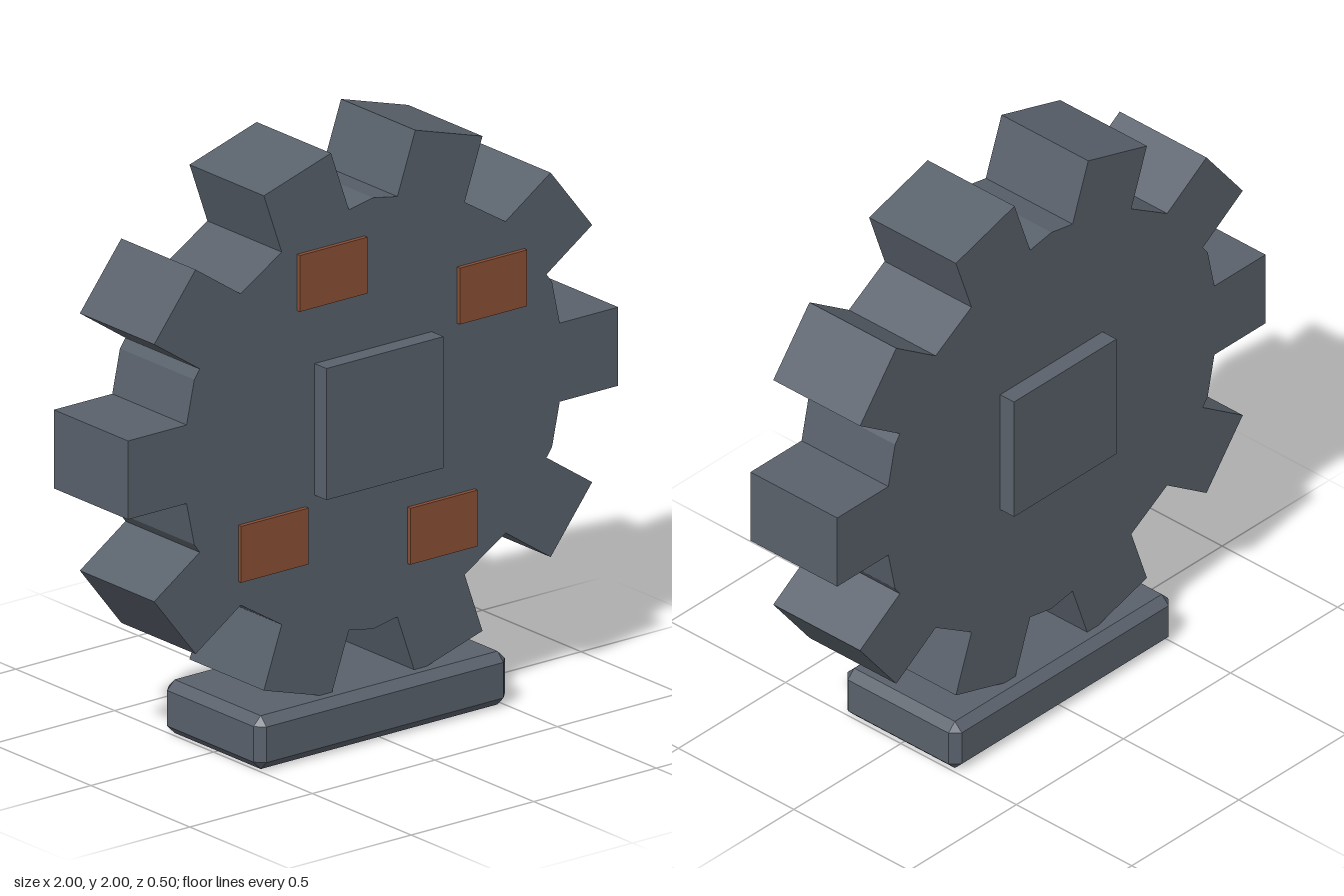
import * as THREE from 'three';
import { ConvexGeometry } from 'three/addons/geometries/ConvexGeometry.js';

const steel = new THREE.MeshStandardMaterial({ name: 'darkSteel', color: 0x59616b });
const rust = new THREE.MeshStandardMaterial({ name: 'rust', color: 0x8a4f35 });

const CENTER_Y = 1.083, HALF_DEPTH = 0.188;
const TEETH = 10, SIDES = 16, BODY_R = 0.79, TIP_R = 1, TOOTH_HALF = 0.144, SQUASH = 0.921;

// Distance along a tooth flank at which it meets the sixteen-sided body
function rootDistance(angle, offset) {
  const apothem = BODY_R * Math.cos(Math.PI / SIDES);
  let best = Infinity;
  for (let k = 0; k < SIDES; k++) {
    const delta = (k + 0.5) * 2 * Math.PI / SIDES - angle;
    const along = Math.cos(delta);
    if (along > 1e-6) best = Math.min(best, (apothem - offset * Math.sin(delta)) / along);
  }
  return best;
}

// Gear outline: a polygonal body with square teeth, slightly squashed in height
function gearGeometry() {
  const points = [];
  const add = (angle, u, v) => points.push(new THREE.Vector2(
    u * Math.cos(angle) - v * Math.sin(angle),
    (u * Math.sin(angle) + v * Math.cos(angle)) * SQUASH));
  const pitch = 2 * Math.PI / TEETH, side = 2 * Math.PI / SIDES;
  for (let i = 0; i < TEETH; i++) {
    const a = i * pitch, next = a + pitch;
    const start = rootDistance(a, -TOOTH_HALF), end = rootDistance(a, TOOTH_HALF);
    add(a, start, -TOOTH_HALF);
    add(a, TIP_R, -TOOTH_HALF);
    add(a, TIP_R, TOOTH_HALF);
    add(a, end, TOOTH_HALF);
    // body corners lying in the gap before the next tooth
    const from = a + Math.atan2(TOOTH_HALF, end);
    const to = next - Math.atan2(TOOTH_HALF, rootDistance(next, -TOOTH_HALF));
    for (let k = 0; k < SIDES; k++) {
      if (k * side > from + 0.001 && k * side < to - 0.001) add(k * side, BODY_R, 0);
    }
  }
  const geometry = new THREE.ExtrudeGeometry(new THREE.Shape(points),
    { depth: 2 * HALF_DEPTH, bevelEnabled: false });
  return geometry.translate(0, 0, -HALF_DEPTH);
}

// Box with every edge cut at 45 degrees
function chamferedBox(w, h, d, c) {
  const points = [];
  for (const sx of [-1, 1]) for (const sy of [-1, 1]) for (const sz of [-1, 1]) {
    for (let axis = 0; axis < 3; axis++) {
      const inset = [c, c, c];
      inset[axis] = 0;
      points.push(new THREE.Vector3(
        sx * (w / 2 - inset[0]), sy * (h / 2 - inset[1]), sz * (d / 2 - inset[2])));
    }
  }
  return new ConvexGeometry(points);
}

export function createModel() {
  const model = new THREE.Group();
  model.name = 'gearOnStand';
  const add = (name, geometry, material, x, y, z) => {
    const mesh = new THREE.Mesh(geometry, material);
    mesh.name = name;
    mesh.position.set(x, y, z);
    model.add(mesh);
  };

  add('gear', gearGeometry(), steel, 0, CENTER_Y, 0);
  add('hub', new THREE.BoxGeometry(0.478, 0.444, 0.496), steel, 0, CENTER_Y, 0);
  add('base', chamferedBox(1.026, 0.18, 0.496, 0.03), steel, 0, 0.09, 0);

  // Rust patches on the front face
  const patch = new THREE.BoxGeometry(0.275, 0.19, 0.018);
  const spots = [[-0.173, 1.595], [0.479, 1.405], [-0.413, 0.735], [0.277, 0.64]];
  spots.forEach(([x, y], i) => add(`rustPatch${i + 1}`, patch, rust, x, y, 0.194));

  return model;
}
